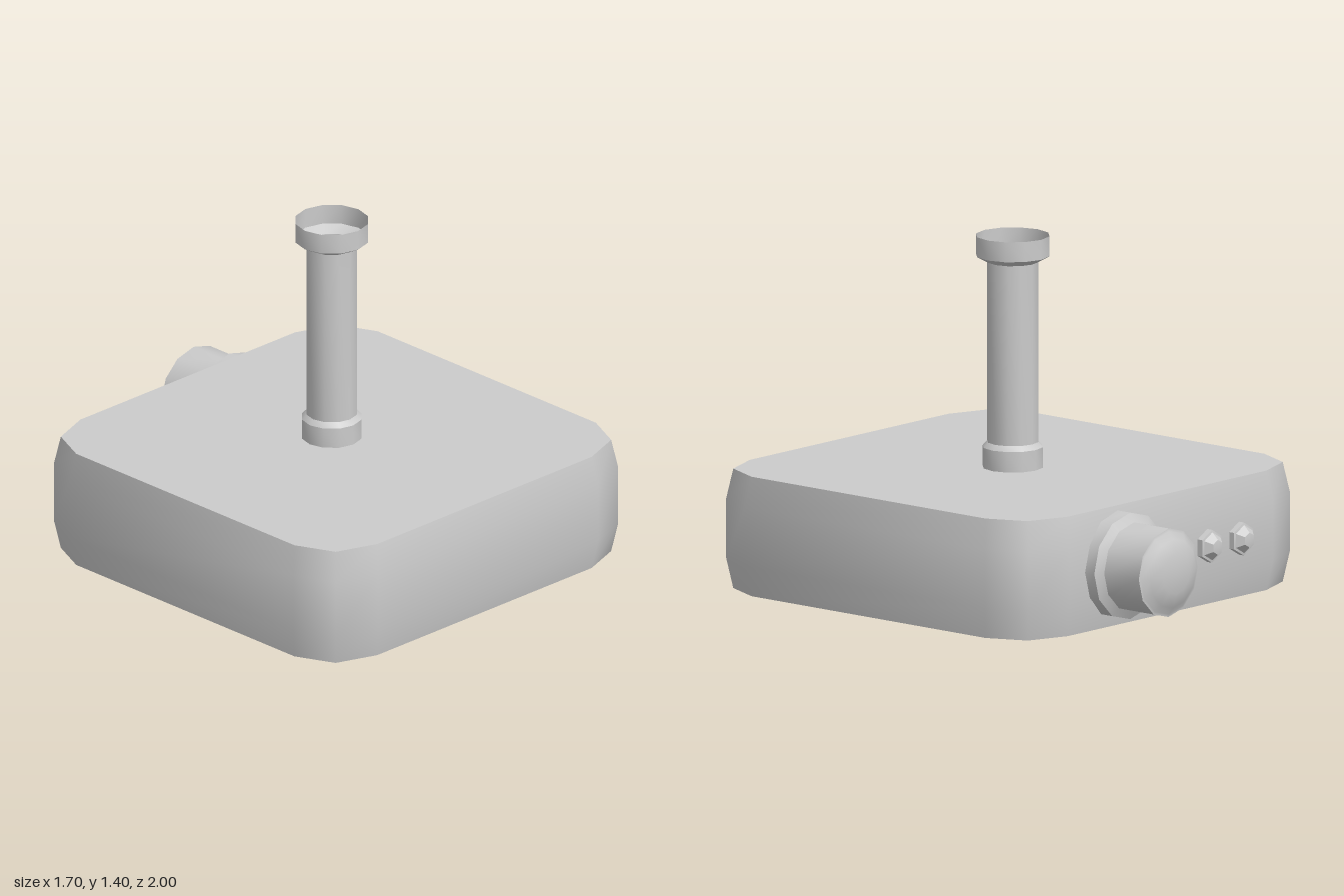
import * as THREE from 'three';
import { toCreasedNormals } from 'three/addons/utils/BufferGeometryUtils.js';

const grey = new THREE.MeshStandardMaterial({ color: 0xcccccc });
const greyOpen = new THREE.MeshStandardMaterial({ color: 0xcccccc, side: THREE.DoubleSide });

function part(name, geometry, material = grey) {
  const mesh = new THREE.Mesh(geometry, material);
  mesh.name = name;
  return mesh;
}

// Turned part from [radius, height] pairs, with sharp steps and smooth rounds
function turned(profile, sides, crease = 0.6) {
  const points = profile.map(([r, y]) => new THREE.Vector2(r, y));
  return toCreasedNormals(new THREE.LatheGeometry(points, sides), crease);
}

// Slab with chamfered corners whose walls lean in slightly at top and bottom
function slabGeometry() {
  const corner = [[0.85, 0.625], [0.777, 0.787], [0.605, 0.85]];
  const flip = corner.slice().reverse();
  const outline = [
    ...corner, ...flip.map(([x, z]) => [-x, z]),
    ...corner.map(([x, z]) => [-x, -z]), ...flip.map(([x, z]) => [x, -z]),
  ];
  const levels = [[0, 0.975], [0.12, 1], [0.36, 1], [0.478, 0.975]];
  const n = outline.length;
  const positions = [];
  const index = [];
  for (const [y, s] of levels) {
    for (const [x, z] of outline) positions.push(x * s, y, z * s);
  }
  for (let l = 0; l < levels.length - 1; l++) {
    for (let i = 0; i < n; i++) {
      const a = l * n + i, b = l * n + (i + 1) % n;
      index.push(a, a + n, b, b, a + n, b + n);
    }
  }
  // Bottom and top faces as fans
  const top = (levels.length - 1) * n;
  for (let i = 1; i < n - 1; i++) {
    index.push(0, i, i + 1, top, top + i + 1, top + i);
  }
  const g = new THREE.BufferGeometry();
  g.setAttribute('position', new THREE.Float32BufferAttribute(positions, 3));
  g.setIndex(index);
  return toCreasedNormals(g, 1.0);
}

export function createModel() {
  const model = new THREE.Group();
  model.name = 'weightedBase';

  const slab = part('baseSlab', slabGeometry());
  slab.position.z = 0.145;
  model.add(slab);

  // Open tube with a collar at the foot and a flared cup at the top
  const stem = part('stem', turned([
    [0.12, 0.47], [0.12, 0.56], [0.102, 0.58], [0.102, 1.3], [0.147, 1.325], [0.147, 1.405],
  ], 12), greyOpen);
  stem.position.set(0.006, 0, 0.115);
  model.add(stem);

  // Domed cap on a stepped flange at the back
  const cap = part('backCap', turned([
    [0.213, 0], [0.213, 0.073], [0.177, 0.093], [0.177, 0.273],
    [0.166, 0.275], [0.138, 0.297], [0.08, 0.314], [0, 0.32],
  ], 12).rotateX(-Math.PI / 2));
  cap.position.set(0.298, 0.245, -0.68);
  model.add(cap);

  // Two hexagonal bolts beside it
  for (const x of [-0.403, -0.215]) {
    const bolt = part('backBolt', turned([
      [0.066, 0], [0.066, 0.04], [0.056, 0.042], [0.03, 0.07], [0, 0.074],
    ], 6).rotateX(-Math.PI / 2));
    bolt.position.set(x, 0.24, -0.69);
    model.add(bolt);
  }
  return model;
}
